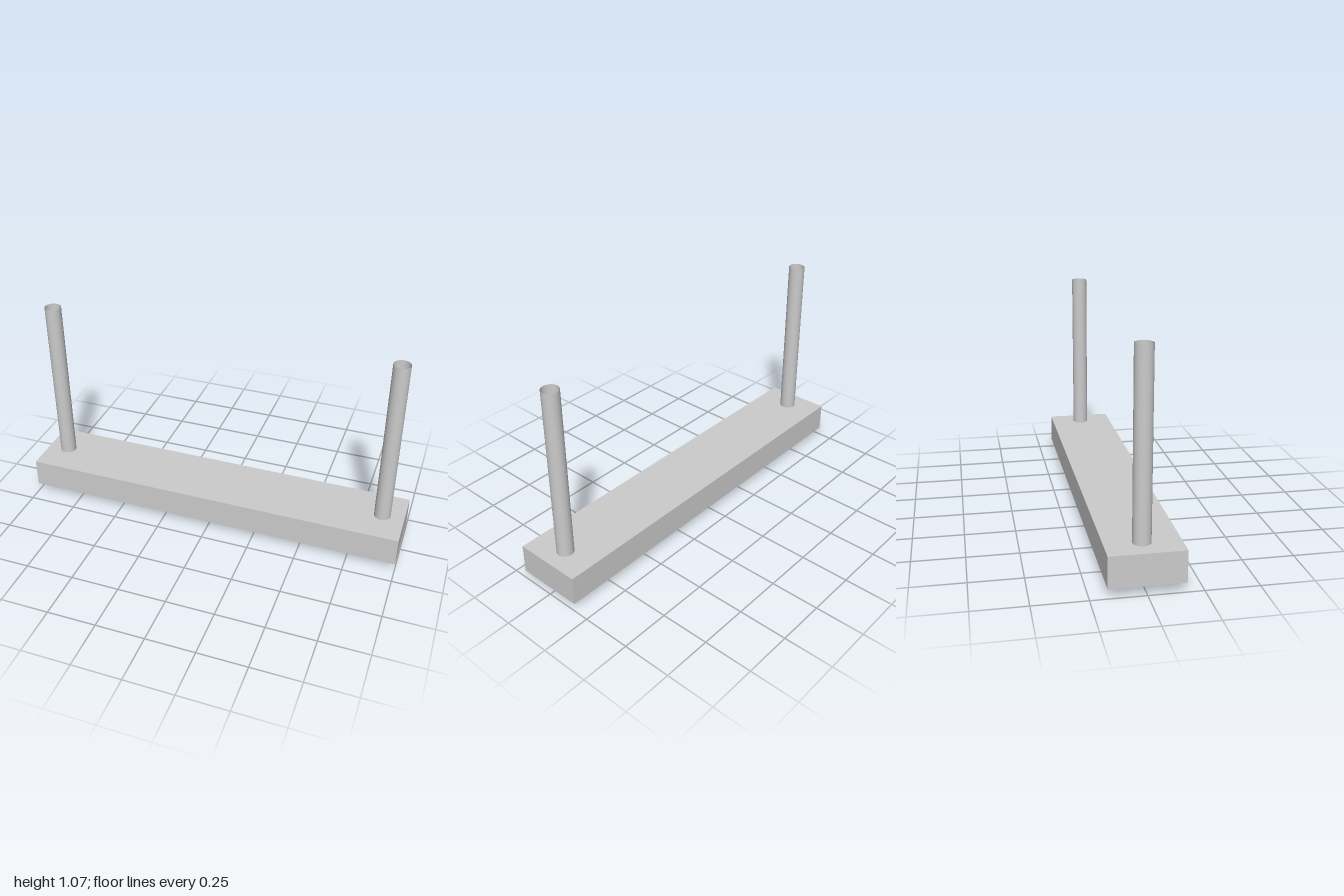
import * as THREE from 'three';

export function createModel() {
  const model = new THREE.Group();
  const material = new THREE.MeshStandardMaterial({ color: 0xcccccc });
  const thin = new THREE.MeshStandardMaterial({ color: 0xcccccc, side: THREE.DoubleSide });
  const radius = 0.042, bottom = 0.045, top = 0.195, rodTop = 1.07;

  // Long rectangular bar
  const bar = new THREE.Mesh(new THREE.BoxGeometry(2, top - bottom, 0.346), material);
  bar.name = 'bar';
  bar.position.y = (top + bottom) / 2;
  model.add(bar);

  // Open-topped hanging tube
  const rodGeometry = new THREE.CylinderGeometry(radius, radius, rodTop - top, 32, 1, true);

  // Rounded knob with a dimple in its underside, profiled from the centre outwards
  const round = 0.028, ring = radius - round;
  const profile = [new THREE.Vector2(0, 0.012), new THREE.Vector2(0.007, 0.009)];
  for (let i = 0; i <= 8; i++) {
    const a = -Math.PI / 2 + (i / 8) * (Math.PI / 2);
    profile.push(new THREE.Vector2(ring + round * Math.cos(a), round + round * Math.sin(a)));
  }
  profile.push(new THREE.Vector2(radius, bottom));
  const knobGeometry = new THREE.LatheGeometry(profile, 32);

  for (const side of [-1, 1]) {
    const hanger = new THREE.Group();
    hanger.name = side > 0 ? 'leftHanger' : 'rightHanger';
    hanger.position.set(side * 0.888, 0, -0.004);
    const rod = new THREE.Mesh(rodGeometry, thin);
    rod.name = 'rod';
    rod.position.y = (rodTop + top) / 2;
    const knob = new THREE.Mesh(knobGeometry, thin);
    knob.name = 'knob';
    hanger.add(rod, knob);
    model.add(hanger);
  }
  return model;
}
